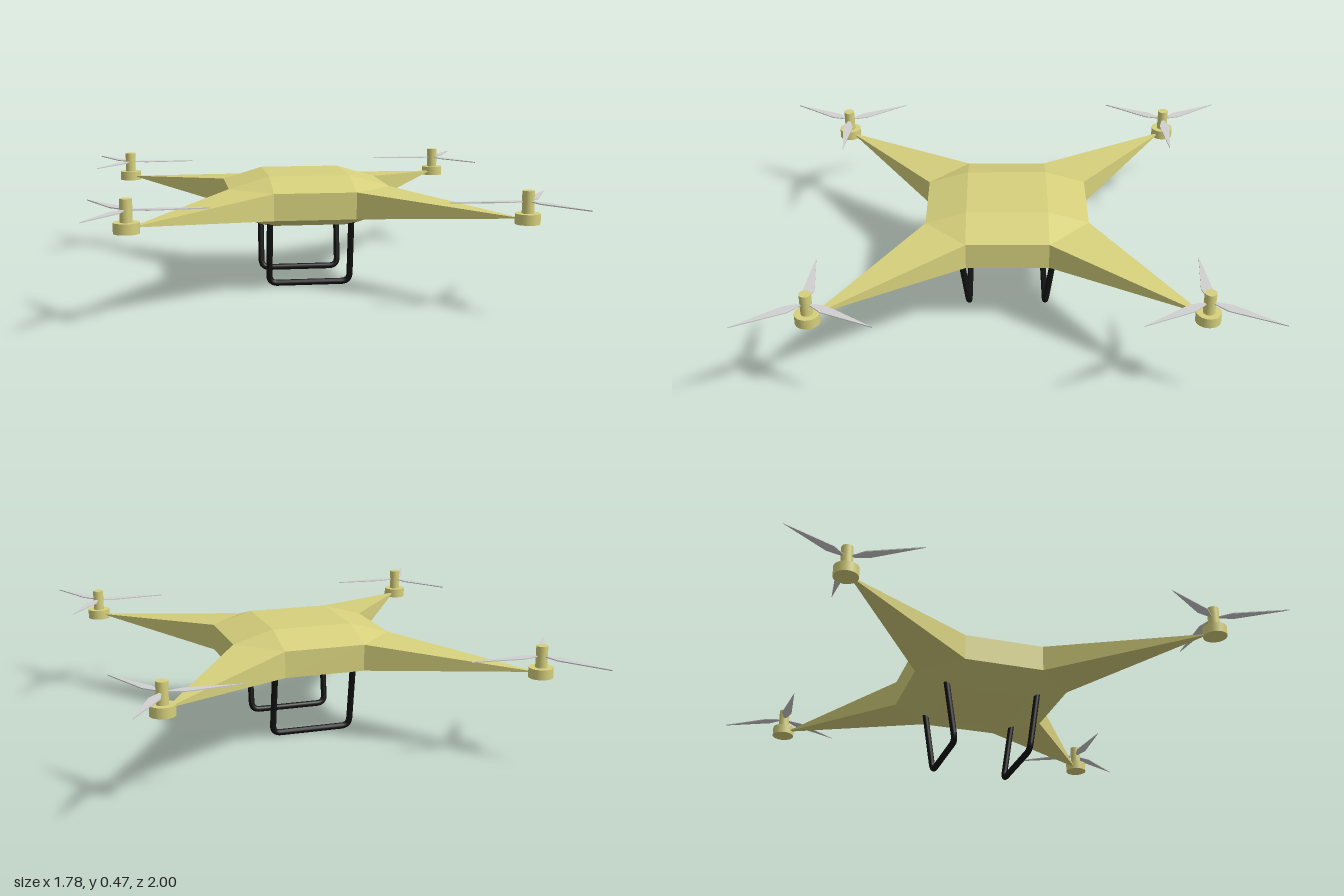
import * as THREE from 'three';

const material = (name, color) => {
  const m = new THREE.MeshStandardMaterial({ color });
  m.name = name;
  return m;
};

// Faceted hull with four tapering arms: one quarter, turned four times.
function hullGeometry() {
  const a = 0.167, b = 0.334;                              // inner and outer half widths
  const top = 0.462, high = 0.413, low = 0.304, base = 0.256;
  const tip = [0.73, 0.36, 0.73];
  const Qh = [a, high, b], Rh = [b, high, a], Ql = [a, low, b], Rl = [b, low, a];
  const faces = [
    [[0, top, 0], [-a, top, a], [a, top, a]],              // quarter of the roof
    [[0, base, 0], [a, base, a], [-a, base, a]],           // quarter of the floor
    [[-a, high, b], Qh, [a, top, a], [-a, top, a]],        // upper bevel
    [[-a, low, b], Ql, Qh, [-a, high, b]],                 // side wall
    [[-a, base, a], [a, base, a], Ql, [-a, low, b]],       // lower bevel
    [[a, top, a], Qh, Rh],                                 // corner above
    [[a, base, a], Rl, Ql],                                // corner below
    [Qh, tip, Rh], [Ql, tip, Qh], [Rh, tip, Rl], [Rl, tip, Ql], // arm
  ];
  const positions = [];
  for (let turn = 0; turn < 4; turn++) {
    const spin = ([x, y, z]) => {
      for (let i = 0; i < turn; i++) [x, z] = [z, -x];
      return [x, y, z];
    };
    for (const face of faces) {
      const p = face.map(spin);
      for (let i = 1; i < p.length - 1; i++) positions.push(...p[0], ...p[i], ...p[i + 1]);
    }
  }
  const geometry = new THREE.BufferGeometry();
  geometry.setAttribute('position', new THREE.Float32BufferAttribute(positions, 3));
  geometry.computeVertexNormals();
  return geometry;
}

// Slim diamond blade, lying flat and pointing along +x.
function bladeGeometry() {
  const shape = new THREE.Shape();
  shape.moveTo(0, 0);
  shape.lineTo(0.08, -0.022);
  shape.lineTo(0.297, 0);
  shape.lineTo(0.08, 0.022);
  shape.closePath();
  const geometry = new THREE.ExtrudeGeometry(shape, { depth: 0.004, bevelEnabled: false });
  geometry.rotateX(-Math.PI / 2);
  return geometry;
}

// U-shaped skid with rounded lower corners, leaning inwards towards the ground.
function skidGeometry() {
  const w = 0.169, r = 0.035, yTop = 0.275, yBottom = 0.014;
  const point = (x, y) => new THREE.Vector3(x, y, 0.161 + (y - yBottom) * 0.145);
  const path = new THREE.CurvePath();
  const line = (p, q) => path.add(new THREE.LineCurve3(p, q));
  const bend = (p, q, s) => path.add(new THREE.QuadraticBezierCurve3(p, q, s));
  line(point(-w, yTop), point(-w, yBottom + r));
  bend(point(-w, yBottom + r), point(-w, yBottom), point(-w + r, yBottom));
  line(point(-w + r, yBottom), point(w - r, yBottom));
  bend(point(w - r, yBottom), point(w, yBottom), point(w, yBottom + r));
  line(point(w, yBottom + r), point(w, yTop));
  return new THREE.TubeGeometry(path, 96, 0.013, 12, false);
}

export function createModel() {
  const shell = material('olive yellow shell', 0xd6d07c);
  const grey = material('light grey blades', 0xd0d0d0);
  const black = material('black skids', 0x111111);

  const model = new THREE.Group();
  model.name = 'quadcopter';
  const add = (parent, name, geometry, mat, x = 0, y = 0, z = 0) => {
    const mesh = new THREE.Mesh(geometry, mat);
    mesh.name = name;
    mesh.position.set(x, y, z);
    parent.add(mesh);
    return mesh;
  };

  add(model, 'hullAndArms', hullGeometry(), shell);

  // Motors and three-bladed rotors at the arm tips
  const housing = new THREE.CylinderGeometry(0.048, 0.048, 0.04, 24);
  const shaft = new THREE.CylinderGeometry(0.023, 0.023, 0.09, 20);
  const blade = bladeGeometry();
  for (const sx of [-1, 1]) {
    for (const sz of [-1, 1]) {
      const rotor = new THREE.Group();
      rotor.name = `${sz > 0 ? 'front' : 'back'}${sx > 0 ? 'Left' : 'Right'}Rotor`;
      rotor.position.set(sx * 0.741, 0, sz * 0.741);
      add(rotor, 'motorHousing', housing, shell, 0, 0.362, 0);
      add(rotor, 'shaft', shaft, shell, 0, 0.423, 0);
      for (let i = 0; i < 3; i++) {
        const mesh = add(rotor, 'blade', blade, grey, 0, 0.425, 0);
        mesh.rotation.y = (sx > 0 ? Math.PI : 0) + (i * 2 * Math.PI) / 3;
      }
      model.add(rotor);
    }
  }

  // Landing skids, front and back
  const skid = skidGeometry();
  add(model, 'frontSkid', skid, black);
  add(model, 'backSkid', skid, black).rotation.y = Math.PI;

  return model;
}
